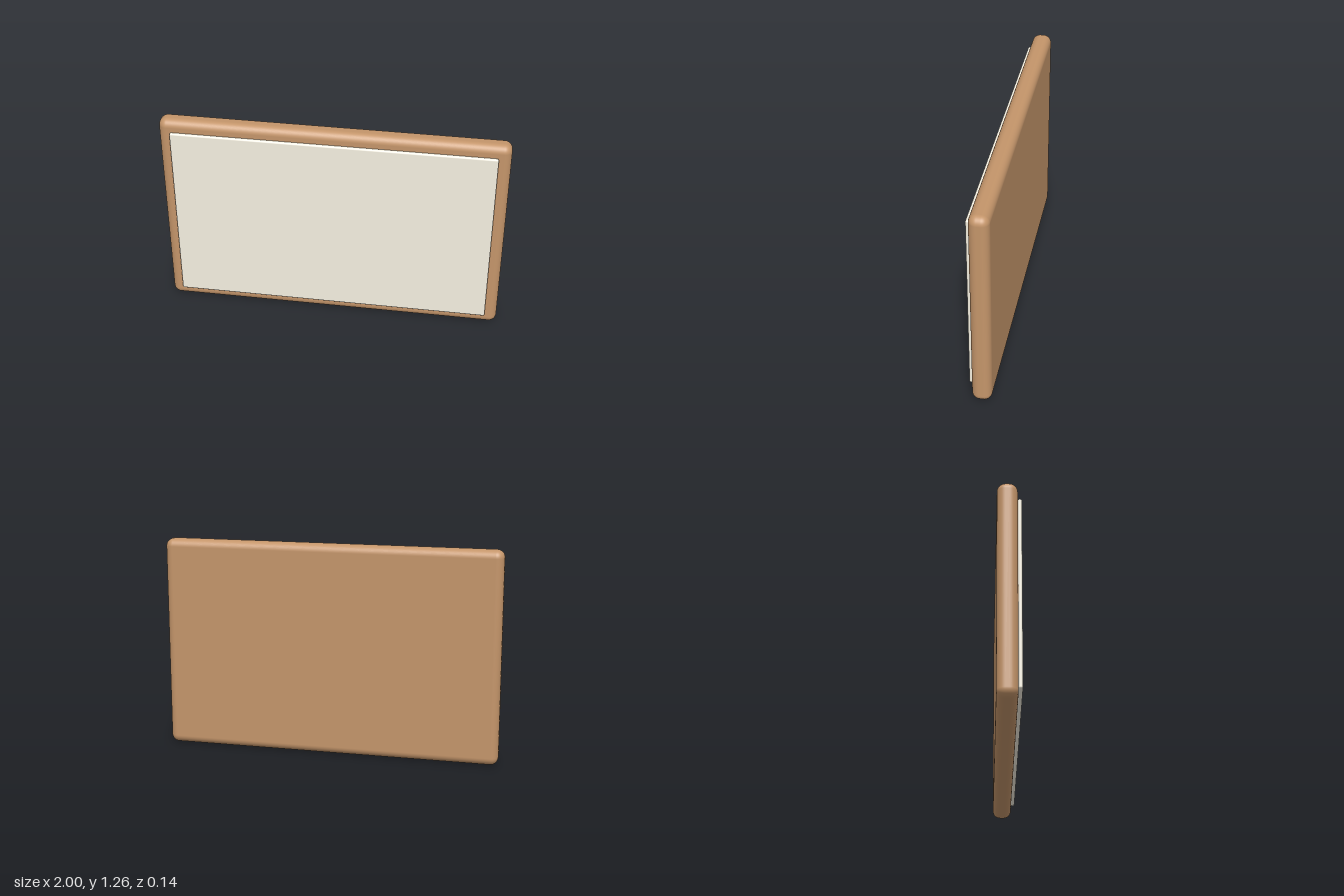
import * as THREE from 'three';
import { RoundedBoxGeometry } from 'three/addons/geometries/RoundedBoxGeometry.js';

// Rounded slab spanning z0..z1, centred on x = 0 and height y
function slab(name, width, height, y, z0, z1, radius, color) {
  const geometry = new RoundedBoxGeometry(width, height, z1 - z0, 6, radius);
  const mesh = new THREE.Mesh(geometry, new THREE.MeshStandardMaterial({ color }));
  mesh.name = name;
  mesh.position.set(0, y, (z0 + z1) / 2);
  return mesh;
}

export function createModel() {
  const board = new THREE.Group();
  board.name = 'board';

  // Thick wooden backing whose rim shows around the panel
  board.add(slab('woodenFrame', 2, 1.256, 0.63, -0.068, 0.045, 0.046, 0xc4956a));

  // Thin pale panel standing proud of the front face
  board.add(slab('frontPanel', 1.86, 1.118, 0.631, 0.045, 0.068, 0.01, 0xf5f0e1));

  return board;
}
